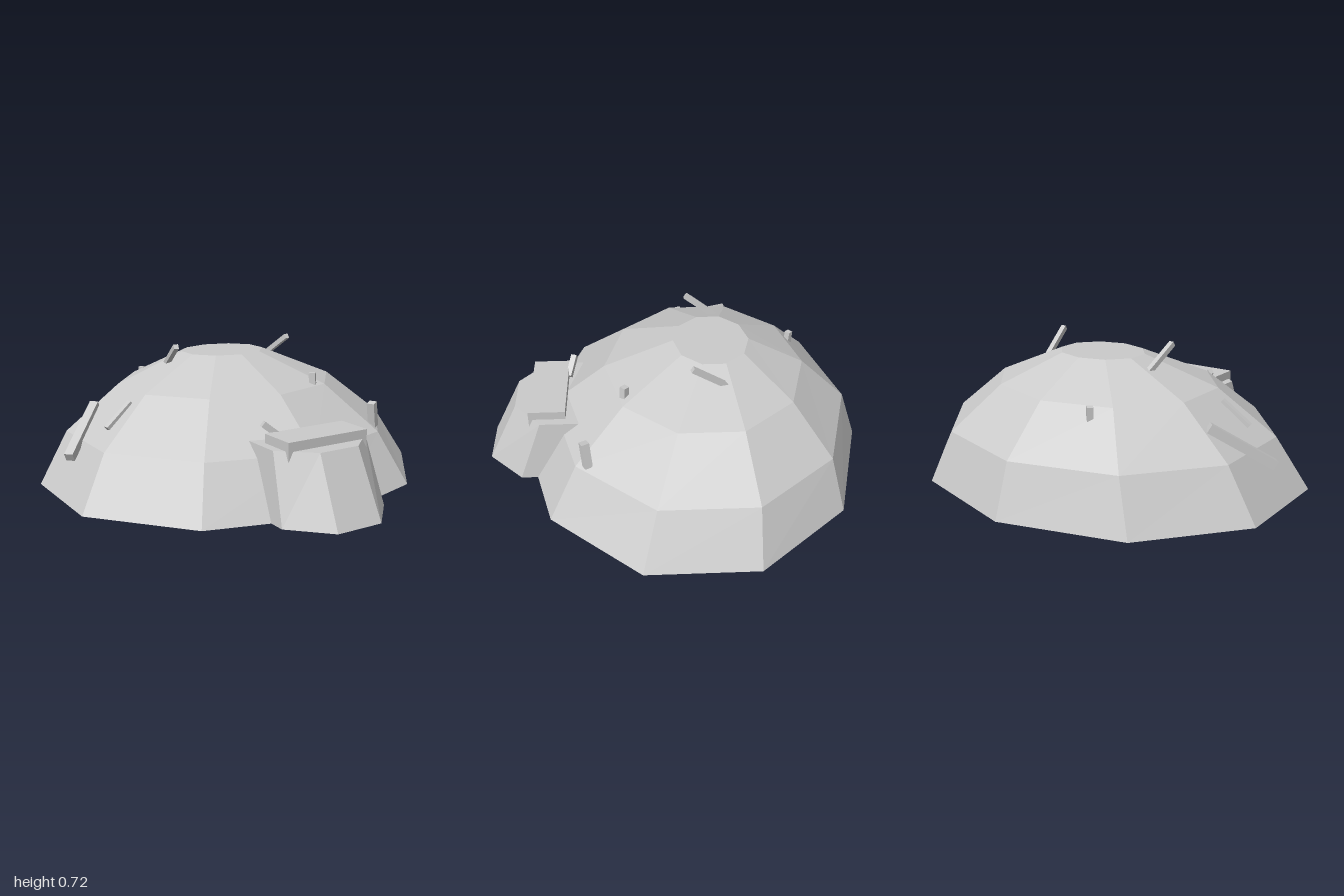
import * as THREE from 'three';

const material = new THREE.MeshStandardMaterial({ color: 0xcccccc, flatShading: true });

// Closed solid through stacked loops of [x, y, z], counter-clockwise seen from above.
function loft(loops) {
  const n = loops[0].length, index = [];
  for (let k = 0; k < loops.length - 1; k++) {
    for (let i = 0; i < n; i++) {
      const a = k * n + i, b = k * n + (i + 1) % n;
      index.push(a, b, b + n, a, b + n, a + n);
    }
  }
  const top = (loops.length - 1) * n;
  for (let i = 1; i < n - 1; i++) {
    index.push(0, i + 1, i);
    index.push(top, top + i, top + i + 1);
  }
  const indexed = new THREE.BufferGeometry();
  indexed.setAttribute('position', new THREE.Float32BufferAttribute(loops.flat(2), 3));
  indexed.setIndex(index);
  const geometry = indexed.toNonIndexed();
  geometry.computeVertexNormals();
  return geometry;
}

function ellipseLoop(y, rx, rz, cz, sides = 10) {
  return Array.from({ length: sides }, (_, i) => {
    const a = (i / sides) * Math.PI * 2;
    return [rx * Math.sin(a), y, cz + rz * Math.cos(a)];
  });
}

export function createModel() {
  const group = new THREE.Group();
  const add = (name, geometry) => {
    const mesh = new THREE.Mesh(geometry, material);
    mesh.name = name;
    group.add(mesh);
    return mesh;
  };

  // Square beam between two points
  const beam = (name, from, to, thickness) => {
    const a = new THREE.Vector3(...from), b = new THREE.Vector3(...to);
    const mesh = add(name, new THREE.BoxGeometry(thickness, thickness, a.distanceTo(b)));
    mesh.position.copy(a).add(b).multiplyScalar(0.5);
    mesh.lookAt(b);
  };

  // Ten-sided dome, leaning slightly back as it rises
  add('dome', loft([
    ellipseLoop(0, 1.043, 0.91, -0.09),
    ellipseLoop(0.265, 0.883, 0.785, -0.125),
    ellipseLoop(0.495, 0.594, 0.52, -0.15),
    ellipseLoop(0.645, 0.23, 0.195, -0.185),
  ]));

  // Entrance block with chamfered front corners, running back into the dome
  const porchLoop = (y, frontX, frontZ, sideX, sideZ, backZ) => [
    [frontX, y, frontZ], [sideX, y, sideZ], [sideX, y, backZ],
    [-sideX, y, backZ], [-sideX, y, sideZ], [-frontX, y, frontZ],
  ];
  add('porch', loft([
    porchLoop(0, 0.125, 1.0, 0.3, 0.82, 0.55),
    porchLoop(0.33, 0.11, 0.84, 0.27, 0.7, 0.45),
  ]));

  // Slab sunk into the porch roof
  add('porchSlab', new THREE.BoxGeometry(0.455, 0.09, 0.19)).position.set(0, 0.33, 0.665);

  // Paired poles near the crown
  for (const s of [1, -1]) {
    beam(s > 0 ? 'leftPole' : 'rightPole', [s * 0.315, 0.58, -0.25], [s * 0.345, 0.705, -0.07], 0.026);
  }

  // Beams and pegs poking out of the shell
  beam('sideBeam', [-0.935, 0.205, -0.09], [-0.7, 0.4, -0.31], 0.045);
  beam('sidePeg', [-0.76, 0.34, -0.02], [-0.62, 0.45, -0.045], 0.028);
  beam('frontPeg', [0.28, 0.47, 0.265], [0.275, 0.56, 0.26], 0.033);
  beam('backPeg', [-0.265, 0.42, -0.635], [-0.27, 0.505, -0.64], 0.03);
  beam('cornerPeg', [0.54, 0.28, 0.448], [0.515, 0.41, 0.46], 0.04);
  beam('porchPeg', [-0.22, 0.415, 0.54], [-0.13, 0.34, 0.57], 0.03);

  return group;
}
